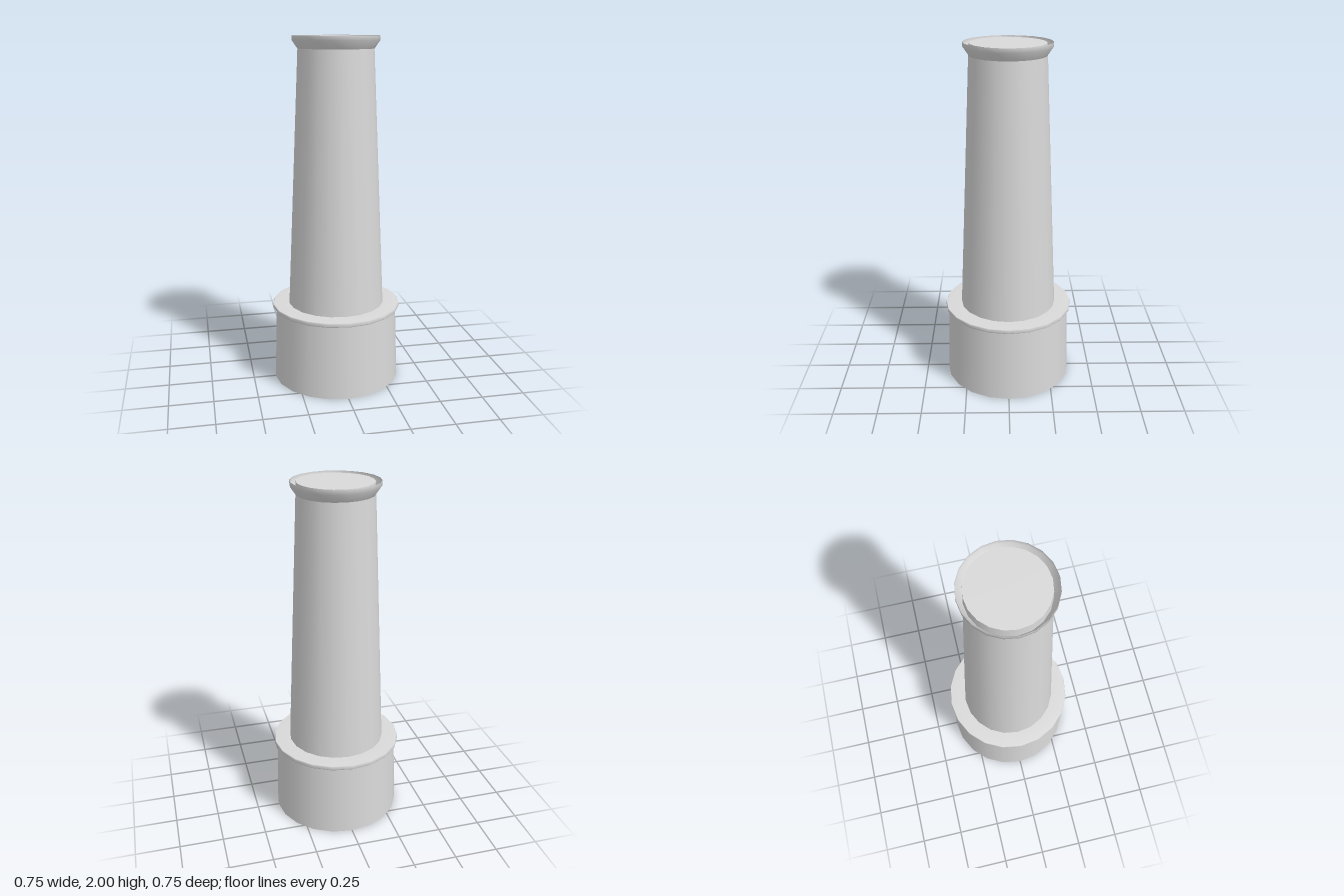
import * as THREE from 'three';

const SIDES = 20;

export function createModel() {
  const group = new THREE.Group();
  group.name = 'chimney';
  const paleGrey = new THREE.MeshStandardMaterial({ color: 0xd9d9d9, side: THREE.DoubleSide });
  paleGrey.name = 'paleGrey';

  // Turned sheet from [radius, height] points, listed upward along the outside
  const turned = (name, points) => {
    const profile = points.map(([r, y]) => new THREE.Vector2(r, y));
    const mesh = new THREE.Mesh(new THREE.LatheGeometry(profile, SIDES), paleGrey);
    mesh.name = name;
    group.add(mesh);
  };

  // Plinth, open underneath, with a thin projecting ledge
  turned('plinthWall', [[0.37, 0], [0.355, 0.435]]);
  turned('ledgeUnderside', [[0.355, 0.435], [0.372, 0.435]]);
  turned('ledgeTop', [[0.372, 0.435], [0.375, 0.44], [0.375, 0.455], [0.372, 0.46], [0.28, 0.46]]);

  // Tapered stack
  turned('stack', [[0.28, 0.46], [0.211, 1.995]]);

  // Flared collar standing clear of the stack at the top
  turned('collar', [[0.214, 1.93], [0.245, 1.975], [0.245, 2]]);

  // Flat lid on the stack
  const lid = new THREE.Mesh(new THREE.CircleGeometry(0.211, SIDES), paleGrey);
  lid.name = 'lid';
  lid.rotation.x = -Math.PI / 2;
  lid.position.y = 1.995;
  group.add(lid);

  return group;
}
